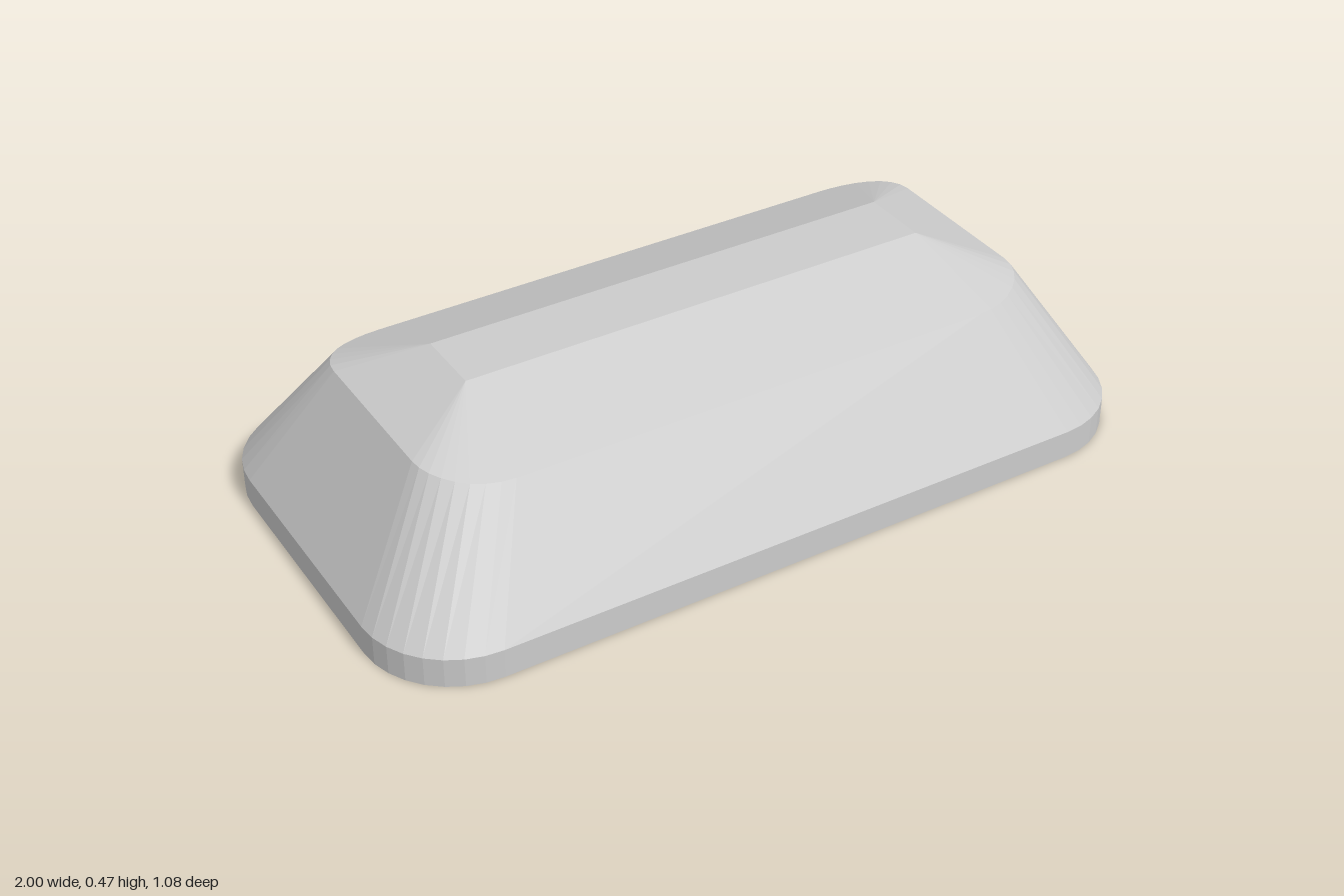
import * as THREE from 'three';

const SEG = 8; // facets per rounded corner

// Rounded-rectangle loop; height blends from ySide (long edges) to yEnd (short edges)
function ring({ x0, x1, z0, z1, rx, rz, ySide, yEnd }) {
  const pts = [];
  const corners = [[1, 1], [-1, 1], [-1, -1], [1, -1]];
  corners.forEach(([sx, sz], q) => {
    const cx = sx > 0 ? x1 - rx : x0 + rx;
    const cz = sz > 0 ? z1 - rz : z0 + rz;
    for (let i = 0; i <= SEG; i++) {
      const a = (q + i / SEG) * Math.PI / 2;
      const c = Math.cos(a), s = Math.sin(a);
      pts.push(new THREE.Vector3(cx + rx * c, ySide + (yEnd - ySide) * c * c, cz + rz * s));
    }
  });
  return pts;
}

// Faceted surface through the loops, optionally closed at either end
function loft(rings, capBottom, capTop) {
  const pos = [];
  const tri = (a, b, c) => {
    const n = b.clone().sub(a).cross(c.clone().sub(a));
    if (n.length() > 1e-9) for (const p of [a, b, c]) pos.push(p.x, p.y, p.z);
  };
  const n = rings[0].length;
  for (let r = 0; r < rings.length - 1; r++) {
    for (let i = 0; i < n; i++) {
      const j = (i + 1) % n, lo = rings[r], hi = rings[r + 1];
      tri(lo[i], hi[i], lo[j]);
      tri(lo[j], hi[i], hi[j]);
    }
  }
  const cap = (loop, up) => {
    const mid = loop.reduce((m, p) => m.add(p), new THREE.Vector3()).divideScalar(n);
    for (let i = 0; i < n; i++) {
      const a = loop[i], b = loop[(i + 1) % n];
      if (up) tri(mid, b, a); else tri(mid, a, b);
    }
  };
  if (capBottom) cap(rings[0], false);
  if (capTop) cap(rings[rings.length - 1], true);
  const geo = new THREE.BufferGeometry();
  geo.setAttribute('position', new THREE.Float32BufferAttribute(pos, 3));
  geo.computeVertexNormals();
  return geo;
}

export function createModel() {
  const group = new THREE.Group();
  group.name = 'roundedBlock';
  const mat = new THREE.MeshStandardMaterial({ color: 0xcccccc, flatShading: true });
  const add = (name, geo) => {
    const mesh = new THREE.Mesh(geo, mat);
    mesh.name = name;
    group.add(mesh);
  };

  const base = { x0: -1, x1: 1, z0: -0.54, z1: 0.54, rx: 0.23, rz: 0.23 };
  const foot = ring({ ...base, ySide: 0, yEnd: 0 });
  const rim = ring({ ...base, ySide: 0.075, yEnd: 0.075 });
  const shoulder = ring({ x0: -0.81, x1: 0.8, z0: -0.33, z1: 0.355, rx: 0.18, rz: 0.14, ySide: 0.363, yEnd: 0.388 });
  const crown = ring({ x0: -0.62, x1: 0.605, z0: -0.07, z1: 0.105, rx: 0, rz: 0, ySide: 0.466, yEnd: 0.466 });

  // Upright plinth, sloping walls, shallow hipped top
  add('plinth', loft([foot, rim], true, false));
  add('slopingWalls', loft([rim, shoulder], false, false));
  add('hippedTop', loft([shoulder, crown], false, true));
  return group;
}
